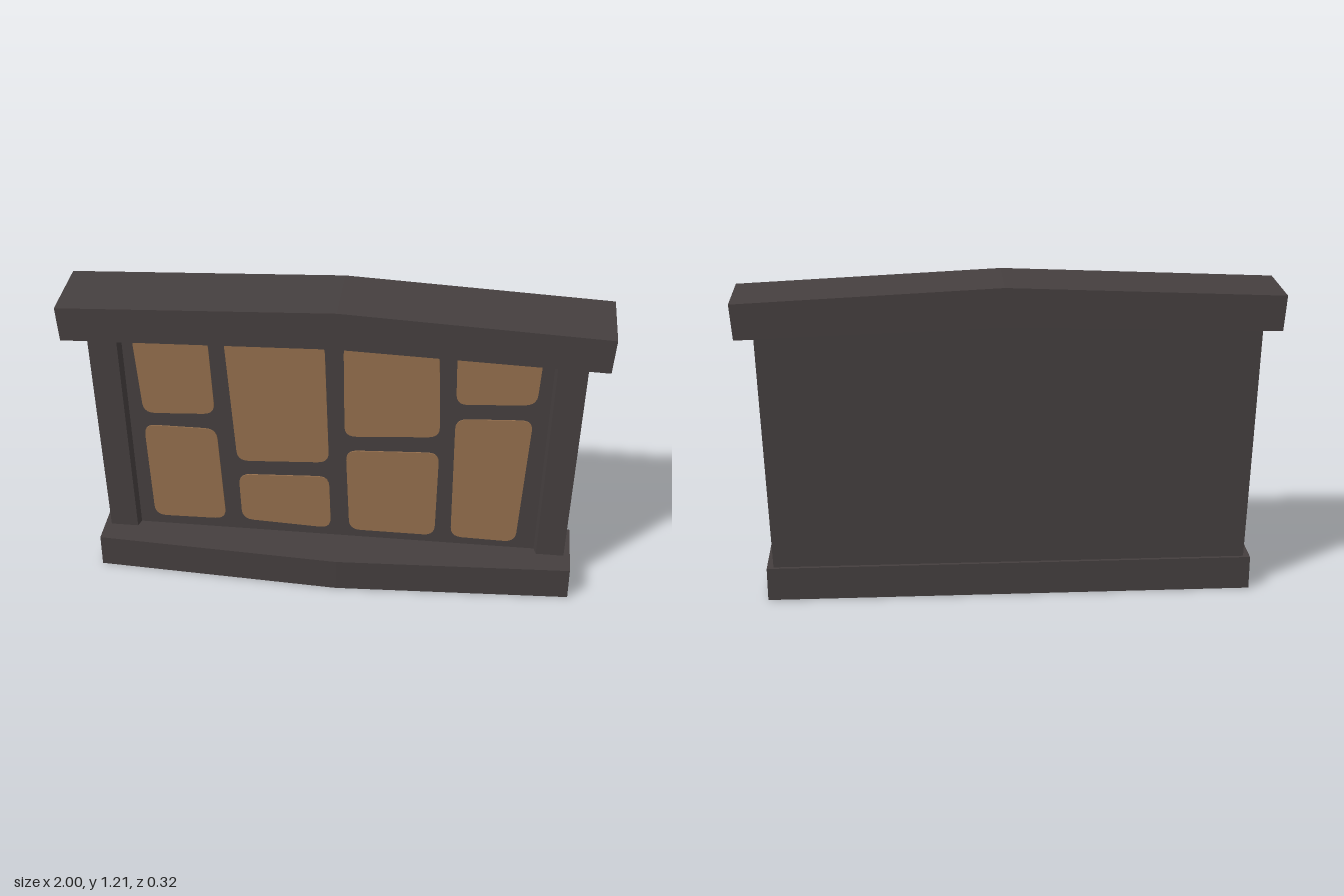
import * as THREE from 'three';

const frameMat = new THREE.MeshStandardMaterial({ color: 0x453f3f });
frameMat.name = 'dark frame';
const stoneMat = new THREE.MeshStandardMaterial({ color: 0x946f4d });
stoneMat.name = 'tan stone';

const toShape = (pts) => new THREE.Shape(pts.map(([x, y]) => new THREE.Vector2(x, y)));
const extrude = (shape, depth) =>
  new THREE.ExtrudeGeometry(shape, { depth, bevelEnabled: false, curveSegments: 5 });

// Plan outline given as [x, z], raised along y from 0 to height
const raise = (plan, height) =>
  extrude(toShape(plan.map(([x, z]) => [x, -z])), height).rotateX(-Math.PI / 2);

// Polygon with softened corners
function roundedShape(corners, radius) {
  const pts = corners.map(([x, y]) => new THREE.Vector2(x, y));
  const shape = new THREE.Shape();
  pts.forEach((p, i) => {
    const prev = pts[(i + pts.length - 1) % pts.length];
    const next = pts[(i + 1) % pts.length];
    const a = prev.clone().sub(p).setLength(radius).add(p);
    const b = next.clone().sub(p).setLength(radius).add(p);
    if (i === 0) shape.moveTo(a.x, a.y);
    else shape.lineTo(a.x, a.y);
    shape.quadraticCurveTo(p.x, p.y, b.x, b.y);
  });
  shape.closePath();
  return shape;
}

// Stones: corners clockwise from top left
const STONES = [
  [[-0.76, 1.0], [-0.475, 1.005], [-0.46, 0.67], [-0.735, 0.655]],
  [[-0.415, 1.007], [-0.04, 1.01], [-0.025, 0.48], [-0.38, 0.46]],
  [[0.03, 1.015], [0.38, 1.01], [0.395, 0.63], [0.035, 0.605]],
  [[0.445, 1.015], [0.757, 1.015], [0.745, 0.8], [0.45, 0.78]],
  [[-0.738, 0.6], [-0.457, 0.6], [-0.435, 0.175], [-0.72, 0.17]],
  [[-0.378, 0.395], [-0.025, 0.412], [-0.018, 0.165], [-0.37, 0.18]],
  [[0.04, 0.54], [0.395, 0.557], [0.39, 0.165], [0.055, 0.165]],
  [[0.45, 0.715], [0.737, 0.73], [0.705, 0.16], [0.453, 0.165]],
];

export function createModel() {
  const model = new THREE.Group();
  model.name = 'stoneWall';
  const add = (name, geometry, material, parent = model) => {
    const mesh = new THREE.Mesh(geometry, material);
    mesh.name = name;
    parent.add(mesh);
    return mesh;
  };

  // Base slab with a shallow pointed front
  add('base', raise([
    [-0.92, -0.148], [0.92, -0.148], [0.92, 0.112], [0.02, 0.16], [-0.92, 0.112],
  ], 0.13), frameMat);

  // Wall body: recessed panel between two side posts, widening upward
  const body = raise([
    [-0.895, -0.135], [0.895, -0.135], [0.895, 0.02], [0.788, 0.02],
    [0.779, -0.012], [-0.779, -0.012], [-0.788, 0.02], [-0.895, 0.02],
  ], 0.98).translate(0, 0.12, 0);
  const pos = body.attributes.position;
  for (let i = 0; i < pos.count; i++) {
    const t = (pos.getY(i) - 0.12) / 0.92;
    pos.setX(i, pos.getX(i) * (1 + 0.028 * t));
    pos.setZ(i, -0.03 + (pos.getZ(i) + 0.03) * (1 + 0.097 * t));
  }
  body.computeVertexNormals();
  add('wallAndPosts', body, frameMat);

  // Gabled cap overhanging the wall
  add('cap', extrude(toShape([
    [-0.99, 1.035], [0.02, 1.065], [0.99, 1.035],
    [1, 1.168], [0.02, 1.213], [-1, 1.168],
  ]), 0.28).translate(0, 0, -0.16), frameMat);

  // Thin stone faces set on the panel
  const stones = new THREE.Group();
  stones.name = 'stones';
  model.add(stones);
  STONES.forEach((corners, i) => {
    add(`stone${i + 1}`, extrude(roundedShape(corners, 0.045), 0.008).translate(0, 0, -0.015), stoneMat, stones);
  });

  return model;
}
